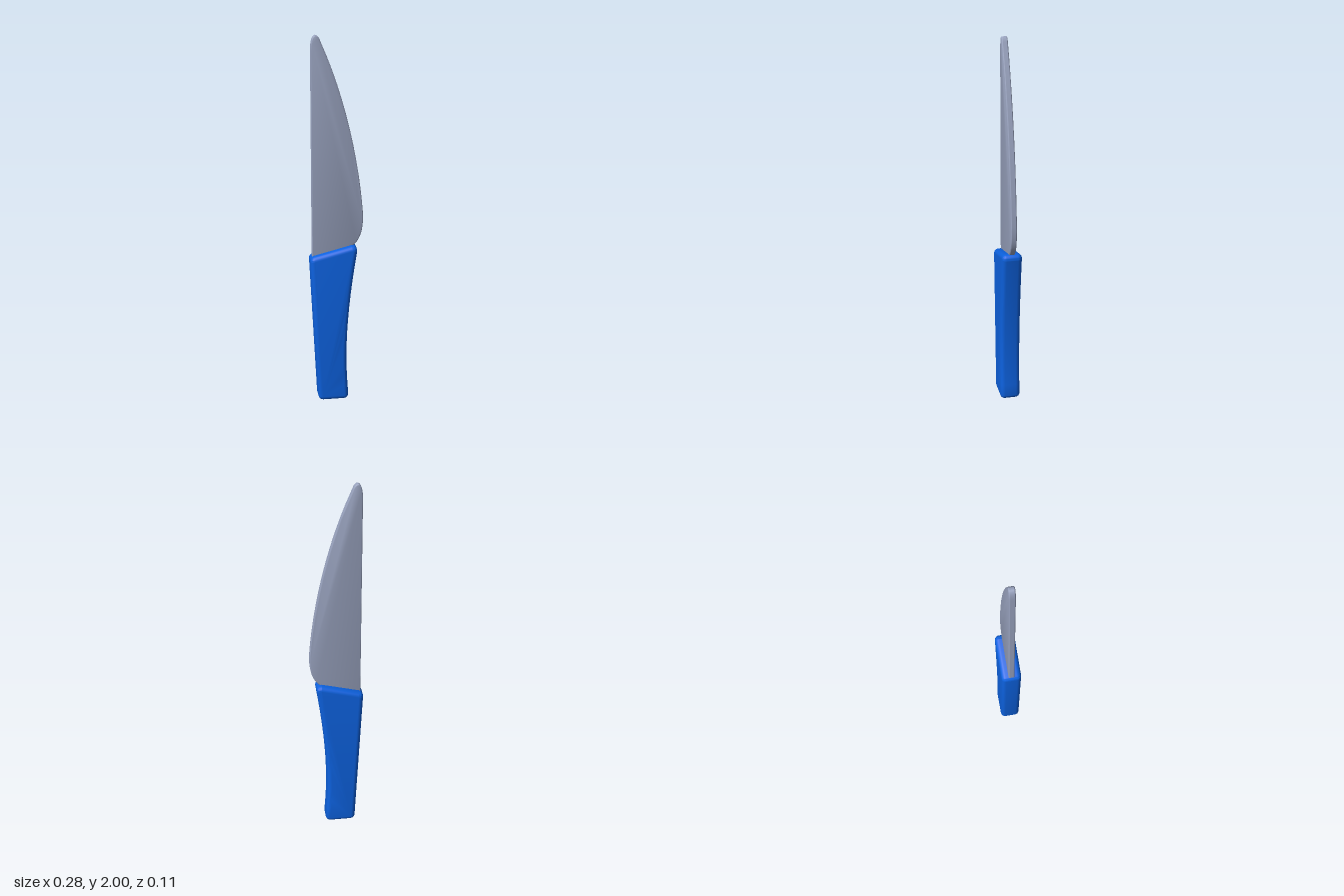
import * as THREE from 'three';
import { toCreasedNormals } from 'three/addons/utils/BufferGeometryUtils.js';

// Extrude an outline along z, centred, with rounded rims growing outward
function roundedSlab(name, shape, thickness, bevel, color) {
  const depth = thickness - 2 * bevel;
  const geometry = new THREE.ExtrudeGeometry(shape, {
    depth, bevelEnabled: true, bevelSize: bevel, bevelThickness: bevel,
    bevelSegments: 5, curveSegments: 12,
  });
  geometry.translate(0, 0, -depth / 2);
  const mesh = new THREE.Mesh(
    toCreasedNormals(geometry, 0.7),
    new THREE.MeshStandardMaterial({ color })
  );
  mesh.name = name;
  return mesh;
}

export function createModel() {
  const group = new THREE.Group();
  group.name = 'knife';

  // Handle: tapered grip with a hollowed front edge and slanted top
  const grip = new THREE.Shape();
  grip.moveTo(-0.076, 0.024);
  grip.lineTo(0.034, 0.024);
  grip.quadraticCurveTo(0.038, 0.024, 0.038, 0.028);
  grip.bezierCurveTo(0.017, 0.26, 0.025, 0.5, 0.083, 0.86);
  grip.quadraticCurveTo(0.084, 0.864, 0.08, 0.863);
  grip.lineTo(-0.115, 0.814);
  grip.quadraticCurveTo(-0.119, 0.813, -0.119, 0.809);
  grip.lineTo(-0.08, 0.028);
  grip.quadraticCurveTo(-0.08, 0.024, -0.076, 0.024);
  group.add(roundedSlab('handle', grip, 0.108, 0.024, 0x0d62e0));

  // Blade: straight spine, curved cutting edge, rounded heel and tip
  const edge = new THREE.Shape();
  edge.moveTo(-0.126, 0.78);
  edge.lineTo(0.04, 0.84);
  edge.lineTo(0.086, 0.89);
  edge.bezierCurveTo(0.125, 0.925, 0.137, 0.98, 0.134, 1.06);
  edge.bezierCurveTo(0.112, 1.34, 0.04, 1.68, -0.088, 1.965);
  edge.bezierCurveTo(-0.1, 2.002, -0.125, 2.004, -0.126, 1.92);
  edge.closePath();
  group.add(roundedSlab('blade', edge, 0.032, 0.006, 0x9aa4c0));

  return group;
}
